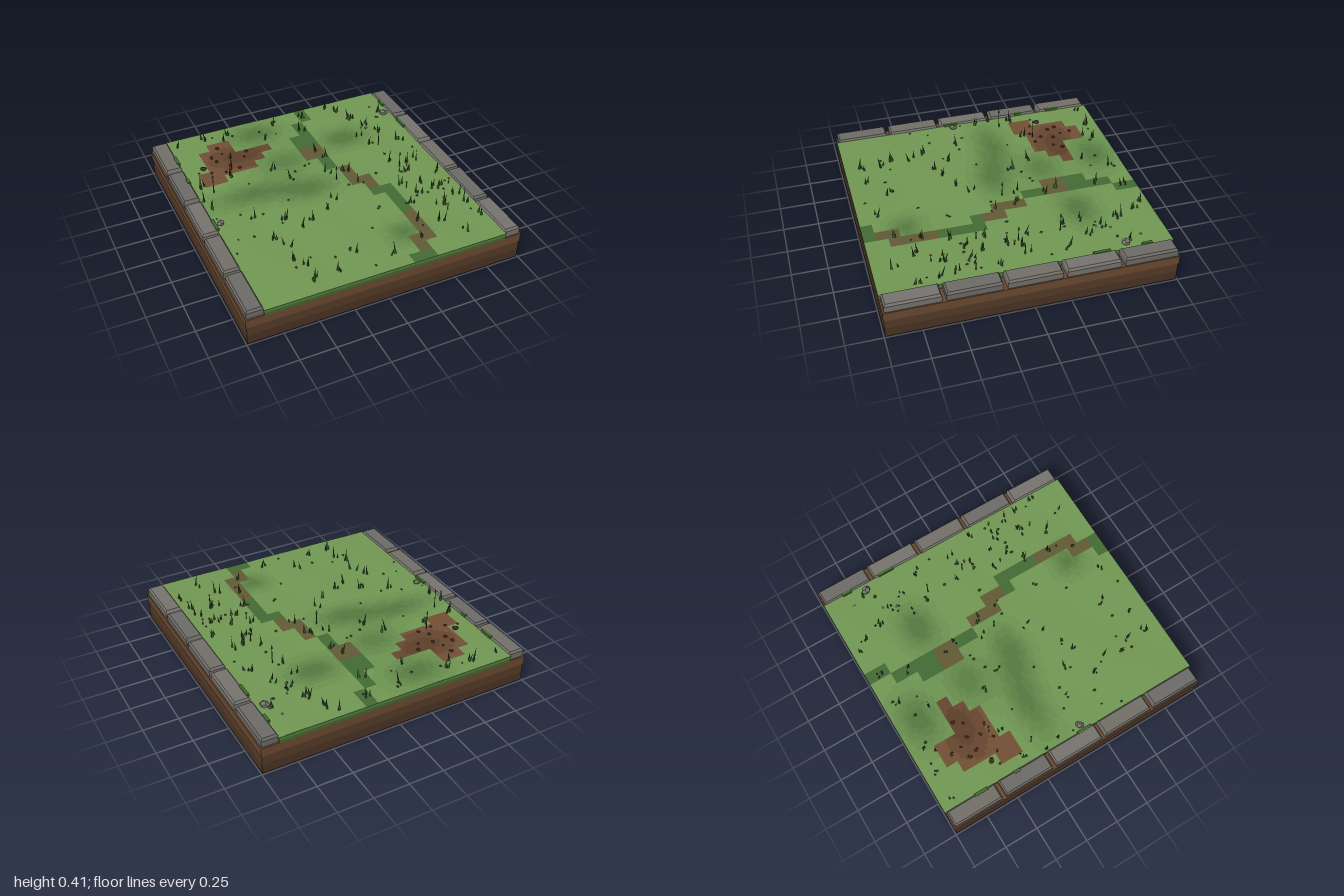
import * as THREE from 'three';
import { mergeGeometries } from 'three/addons/utils/BufferGeometryUtils.js';

const CELL_X = 1.75 / 20, CELL_Z = 2 / 24, TOP = 0.25;

export function createModel() {
  const group = new THREE.Group();
  let seed = 7;
  const rand = () => (seed = (seed * 16807) % 2147483647) / 2147483647;
  const range = (a, b) => a + (b - a) * rand();

  const add = (name, geometry, color, flat = true, side = THREE.FrontSide) => {
    const material = new THREE.MeshStandardMaterial({ color, flatShading: flat, roughness: 1, side });
    const mesh = new THREE.Mesh(geometry, material);
    mesh.name = name;
    group.add(mesh);
    return mesh;
  };
  const slab = (name, hx, y0, y1, hz, color) =>
    add(name, new THREE.BoxGeometry(hx * 2, y1 - y0, hz * 2).translate(0, (y0 + y1) / 2, 0), color);

  // Soil block in bands that lighten towards the top, with a slightly wider upper lip
  slab('soilBottom', 0.99, 0, 0.004, 0.99, 0x2a1e15);
  slab('soilLower', 0.992, 0.002, 0.07, 0.992, 0x4a3323);
  slab('soilMiddle', 0.992, 0.07, 0.14, 0.992, 0x553b28);
  slab('soilUpper', 0.997, 0.14, 0.205, 0.997, 0x6b4a30);

  // Turf edge
  slab('turfLower', 0.872, 0.2, 0.225, 0.998, 0x43692f);
  slab('turfUpper', 0.875, 0.225, TOP - 0.004, 1, 0x56803f);

  // Turf surface: each row lists [first row, last row, first column, last column]
  const dirt = [[2, 2, 3, 4], [3, 3, 2, 4], [4, 4, 2, 7], [5, 5, 2, 6], [6, 6, 1, 5], [7, 7, 1, 2]];
  const trailGrass = [[0, 1, 12, 12], [2, 3, 11, 11], [4, 5, 10, 11], [8, 9, 11, 11], [14, 14, 13, 14],
    [15, 17, 14, 14], [23, 23, 12, 13]];
  const trailDirt = [[6, 7, 10, 11], [10, 11, 12, 12], [12, 12, 12, 13], [13, 13, 13, 13], [18, 20, 14, 14],
    [21, 21, 13, 14], [22, 22, 13, 13]];
  const inside = (list, r, c) => list.some(([a, b, d, e]) => r >= a && r <= b && c >= d && c <= e);
  // Dark patches: x, z, radius x, radius z, strength
  const shadows = [[-0.22, -0.83, 0.2, 0.14, 0.9], [0.38, -0.5, 0.18, 0.13, 0.9], [-0.5, -0.12, 0.3, 0.12, 0.8],
    [-0.12, -0.02, 0.22, 0.12, 0.8], [-0.15, -0.4, 0.2, 0.15, 0.7], [0.27, 0.7, 0.13, 0.12, 0.8]];
  const shade = (x, z) => shadows.reduce((s, [px, pz, rx, rz, k]) =>
    s + k * Math.exp(-(((x - px) / rx) ** 2) - ((z - pz) / rz) ** 2), 0);
  const height = (x, z) => TOP + 0.0015 * Math.sin(9 * x + 2 * z) * Math.cos(7 * z - 3 * x);

  const SUB = 3;
  const tones = new Map();
  for (let i = 0; i < 24 * SUB; i++) for (let j = 0; j < 20 * SUB; j++) {
    const row = Math.floor(i / SUB), col = Math.floor(j / SUB);
    const x0 = -0.875 + j * CELL_X / SUB, x1 = x0 + CELL_X / SUB;
    const z0 = -1 + i * CELL_Z / SUB, z1 = z0 + CELL_Z / SUB;
    const dark = Math.min(1, shade((x0 + x1) / 2, (z0 + z1) / 2));
    let color;
    if (inside(dirt, row, col)) {
      const d = Math.hypot((x0 + 0.42) / 0.2, (z0 + 0.62) / 0.12);
      color = d < 0.7 ? 0x5c3f2a : d < 1.3 ? 0x67472f : 0x724f35;
    } else if (inside(trailDirt, row, col)) color = 0x625a35;
    else if (inside(trailGrass, row, col)) color = 0x436b34;
    else {
      const t = Math.round(dark * 6) / 6;
      color = new THREE.Color(0x729854).lerp(new THREE.Color(0x4d733c), t).getHex();
    }
    if (!tones.has(color)) tones.set(color, []);
    const p = (x, z) => [x, height(x, z), z];
    tones.get(color).push(...p(x0, z0), ...p(x0, z1), ...p(x1, z1), ...p(x0, z0), ...p(x1, z1), ...p(x1, z0));
  }
  for (const [color, points] of tones) {
    const geometry = new THREE.BufferGeometry();
    geometry.setAttribute('position', new THREE.Float32BufferAttribute(points, 3));
    geometry.computeVertexNormals();
    add('turfSurface', geometry, color, false);
  }

  // Kerb stones: blocks with chamfered tops, five on each side
  const kerb = (w, d) => {
    const geometry = new THREE.BoxGeometry(w, 0.064, d, 1, 2, 1);
    const p = geometry.attributes.position;
    for (let i = 0; i < p.count; i++) {
      const y = p.getY(i);
      if (y > 0.01) p.setXYZ(i, p.getX(i) - Math.sign(p.getX(i)) * 0.011, y, p.getZ(i) - Math.sign(p.getZ(i)) * 0.011);
      else if (y > -0.01) p.setY(i, 0.016);
    }
    return geometry;
  };
  for (const side of [-1, 1]) for (let i = 0; i < 5; i++) {
    const stone = add('kerbStone', kerb(0.118, 0.372), [0x737069, 0x6d6b67, 0x777470][(i + (side > 0 ? 1 : 0)) % 3]);
    stone.position.set(side * 0.93, 0.232, -0.8 + i * 0.4);
  }

  // Moss clumps along the inner kerb edges
  for (const [x, z, l] of [[-0.878, -0.72, 0.1], [-0.882, -0.44, 0.05], [-0.874, 0.11, 0.11],
    [0.876, -0.49, 0.12], [0.872, -0.81, 0.07]]) {
    add('moss', new THREE.BoxGeometry(0.022, 0.02, l), 0x42692f).position.set(x, 0.259, z);
  }

  // Grass blades: a lean three-sided spike
  const place = (geometry, x, z, lean, turn, sink = 0) =>
    geometry.rotateZ(lean).rotateY(turn).translate(x, TOP - sink, z);
  const blade = (x, z, h, r) =>
    place(new THREE.ConeGeometry(r, h, 3).translate(0, h / 2, 0), x, z, range(0.02, 0.3), range(0, 6.28), 0.003);
  const tufts = [
    [-0.83, -0.91], [-0.6, -0.92], [-0.46, -0.86], [-0.4, -0.9], [-0.18, -0.73], [-0.04, -0.9], [0.13, -0.73],
    [0.2, -0.9], [0.41, -0.92], [0.47, -0.88], [0.52, -0.72], [0.55, -0.74], [0.8, -0.73], [0.61, -0.6],
    [0.5, -0.45], [0.66, -0.48], [0.54, -0.33], [0.76, -0.3], [0.11, -0.44], [0.14, -0.34], [-0.84, -0.2],
    [-0.8, -0.34], [-0.83, -0.08], [-0.56, -0.38], [-0.27, -0.35], [-0.17, -0.18], [0.08, -0.13], [0.2, -0.1],
    [0.24, 0.07], [-0.02, 0.17], [-0.12, 0.24], [-0.24, 0.31], [-0.35, 0.37], [-0.42, 0.25], [-0.6, 0.14],
    [-0.56, 0.41], [-0.5, 0.5], [-0.53, 0.65], [-0.49, 0.72], [-0.48, 0.88], [-0.3, 0.88], [-0.14, 0.73],
    [0.09, 0.89], [0.34, 0.78], [0.4, 0.63], [0.46, 0.45], [0.5, 0.2], [0.57, 0.36], [0.64, 0.26],
    [0.69, 0.35], [0.74, 0.32], [0.8, 0.2], [0.63, 0.53], [0.55, 0.68], [0.59, 0.72], [0.67, 0.54],
    [0.8, 0.6], [0.83, 0.74], [0.66, 0.85], [0.62, 0.08], [0.75, -0.02], [0.66, 0.0], [0.56, -0.07], [0.79, 0.47]];
  const greens = [0x35542a, 0x3f6230, 0x2f4a26];
  const blades = [[], [], []];
  tufts.forEach(([x, z], i) => {
    const n = 2 + (i % 2);
    for (let k = 0; k < n; k++) {
      const h = k === 0 ? range(0.06, 0.115) : range(0.025, 0.075);
      blades[(i + k) % 3].push(blade(x + range(-0.025, 0.025), z + range(-0.025, 0.025), h, range(0.007, 0.011)));
    }
  });
  blades.forEach((list, i) => add('grassBlades', mergeGeometries(list), greens[i]));

  // Tall seed stalks
  const stalks = [];
  for (const [x, z, h] of [[-0.755, -0.25, 0.16], [-0.545, -0.46, 0.16], [0.58, -0.3, 0.15], [0.6, 0.0, 0.12], [0.1, -0.03, 0.12]]) {
    stalks.push(new THREE.CylinderGeometry(0.002, 0.004, h, 4).translate(x, TOP + h / 2 - 0.01, z));
    stalks.push(new THREE.ConeGeometry(0.008, 0.03, 4).translate(x, TOP + h - 0.015, z));
  }
  add('seedStalks', mergeGeometries(stalks), 0x35502b);

  // Small flowers on thin stems
  const stems = [], petals = [];
  for (const [x, z] of [[0.65, 0.61], [0.66, 0.53], [0.56, 0.07], [0.51, 0.27], [0.64, 0.04], [0.81, 0.35]]) {
    const h = range(0.035, 0.055);
    stems.push(new THREE.CylinderGeometry(0.0025, 0.003, h, 4).translate(x, TOP + h / 2, z));
    petals.push(new THREE.IcosahedronGeometry(0.01, 0).scale(1, 0.6, 1).translate(x, TOP + h, z));
  }
  add('flowerStems', mergeGeometries(stems), 0x3f6230);
  add('flowerHeads', mergeGeometries(petals), 0xb5722c);

  // Stones and pebbles
  const rock = (x, z, r) => new THREE.DodecahedronGeometry(r, 0).scale(1, 0.6, 0.85)
    .rotateY(range(0, 6)).translate(x, TOP + r * 0.3, z);
  add('stones', mergeGeometries([rock(0.82, -0.68, 0.035), rock(-0.83, 0.1, 0.031), rock(0.8, -0.72, 0.014)]), 0x77746e);
  add('palePebbles', mergeGeometries([rock(0.6, -0.55, 0.01), rock(0.76, -0.81, 0.01), rock(0.64, -0.64, 0.009)]), 0x9a978e);
  const clods = [rock(-0.73, -0.55, 0.023)];
  for (const [x, z] of [[-0.54, -0.68], [-0.61, -0.6], [-0.53, -0.52], [-0.48, -0.46], [-0.5, -0.61], [-0.4, -0.58],
    [-0.69, -0.48], [-0.63, -0.66], [-0.55, -0.76], [-0.36, -0.64], [-0.59, -0.45]]) clods.push(rock(x, z, range(0.01, 0.017)));
  add('dirtClods', mergeGeometries(clods), 0x54392a);

  // Low leaves scattered over the turf
  const leaves = [];
  for (let i = 0; i < 45; i++) {
    const x = range(-0.84, 0.84), z = range(-0.95, 0.95);
    leaves.push(new THREE.OctahedronGeometry(range(0.006, 0.011), 0).scale(1, 0.7, 1.3).translate(x, TOP + 0.004, z));
  }
  add('leaves', mergeGeometries(leaves), 0x3a5a2d);
  return group;
}
